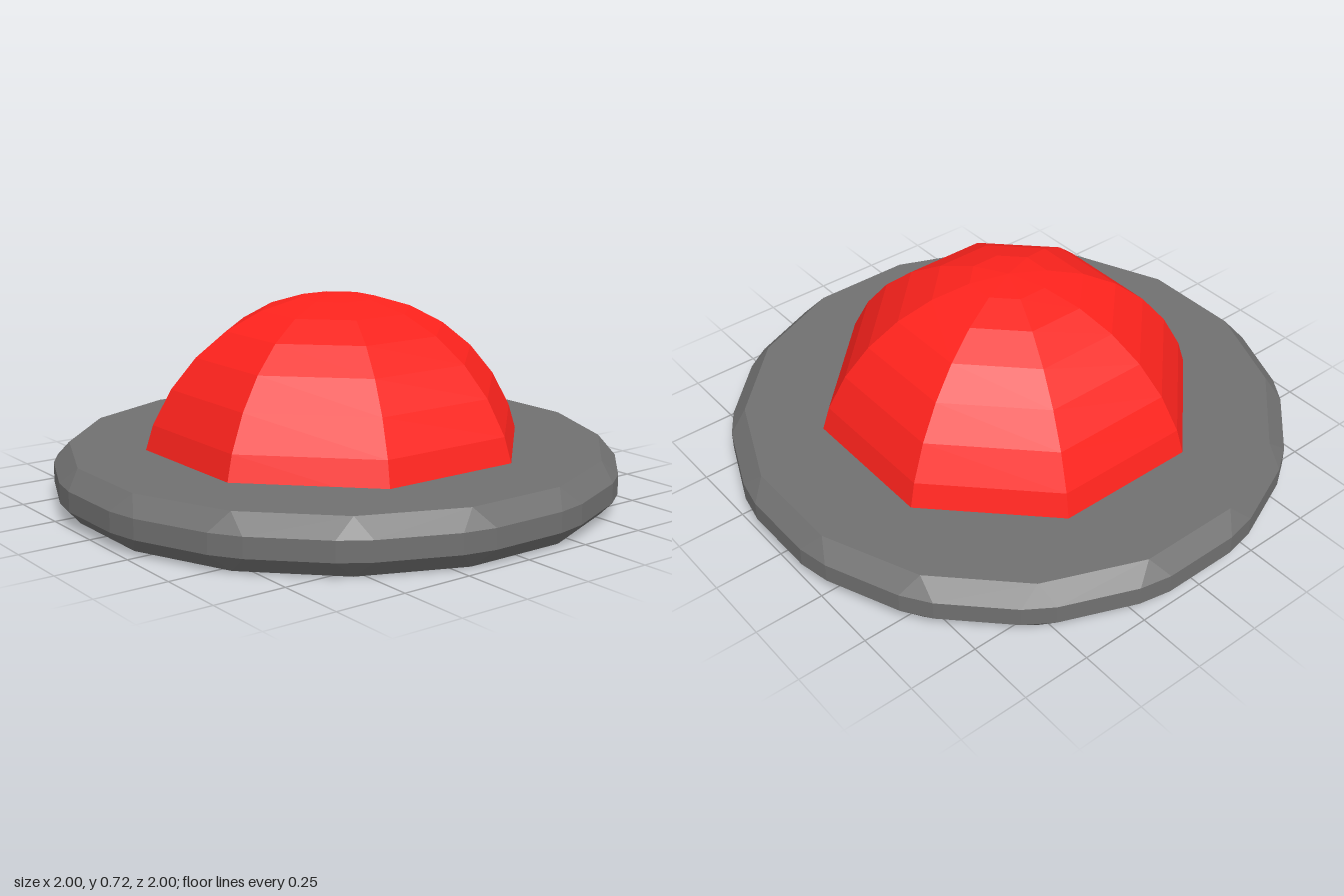
import * as THREE from 'three';

const SIDES = 16;

// Ring of 32 points: two per corner of a 16-gon, "half" being half the length of each long side.
function ring(apothem, half, y) {
  const points = [];
  for (let i = 0; i < SIDES; i++) {
    const a = (i / SIDES) * Math.PI * 2;
    for (const s of [-half, half]) {
      points.push(new THREE.Vector3(
        apothem * Math.sin(a) + s * Math.cos(a), y,
        apothem * Math.cos(a) - s * Math.sin(a)));
    }
  }
  return points;
}

// Skins a stack of rings (bottom to top) and caps both ends.
function skin(rings) {
  const pos = [];
  const tri = (a, b, c) => {
    const area = b.clone().sub(a).cross(c.clone().sub(a)).length();
    if (area > 1e-6) for (const p of [a, b, c]) pos.push(p.x, p.y, p.z);
  };
  const n = rings[0].length;
  const top = rings[rings.length - 1];
  const bottomCentre = new THREE.Vector3(0, rings[0][0].y, 0);
  const topCentre = new THREE.Vector3(0, top[0].y, 0);
  for (let i = 0; i < n; i++) {
    const j = (i + 1) % n;
    for (let k = 0; k < rings.length - 1; k++) {
      const lo = rings[k], hi = rings[k + 1];
      tri(lo[i], lo[j], hi[j]);
      tri(lo[i], hi[j], hi[i]);
    }
    tri(bottomCentre, rings[0][j], rings[0][i]);
    tri(topCentre, top[i], top[j]);
  }
  const geometry = new THREE.BufferGeometry();
  geometry.setAttribute('position', new THREE.Float32BufferAttribute(pos, 3));
  geometry.computeVertexNormals();
  return geometry;
}

export function createModel() {
  const group = new THREE.Group();

  // Base: 16-sided disc with chamfered rims and corners
  const bevel = 0.06, height = 0.19, inner = 0.94;
  const corner = inner * Math.tan(Math.PI / SIDES);
  const base = new THREE.Mesh(
    skin([
      ring(inner, corner, 0),
      ring(1, 0.14, bevel),
      ring(1, 0.14, height - bevel),
      ring(inner, corner, height),
    ]),
    new THREE.MeshStandardMaterial({ color: 0x707070, flatShading: true }));
  base.name = 'baseDisc';
  group.add(base);

  // Dome: eight-sided faceted hemisphere, its rim sunk into the disc
  const dome = new THREE.Mesh(
    new THREE.SphereGeometry(0.716, 8, 8, Math.PI / 8, Math.PI * 2, 0, Math.PI / 2),
    new THREE.MeshStandardMaterial({ color: 0xff231d, flatShading: true }));
  dome.name = 'dome';
  dome.position.y = 0.004;
  group.add(dome);

  return group;
}
